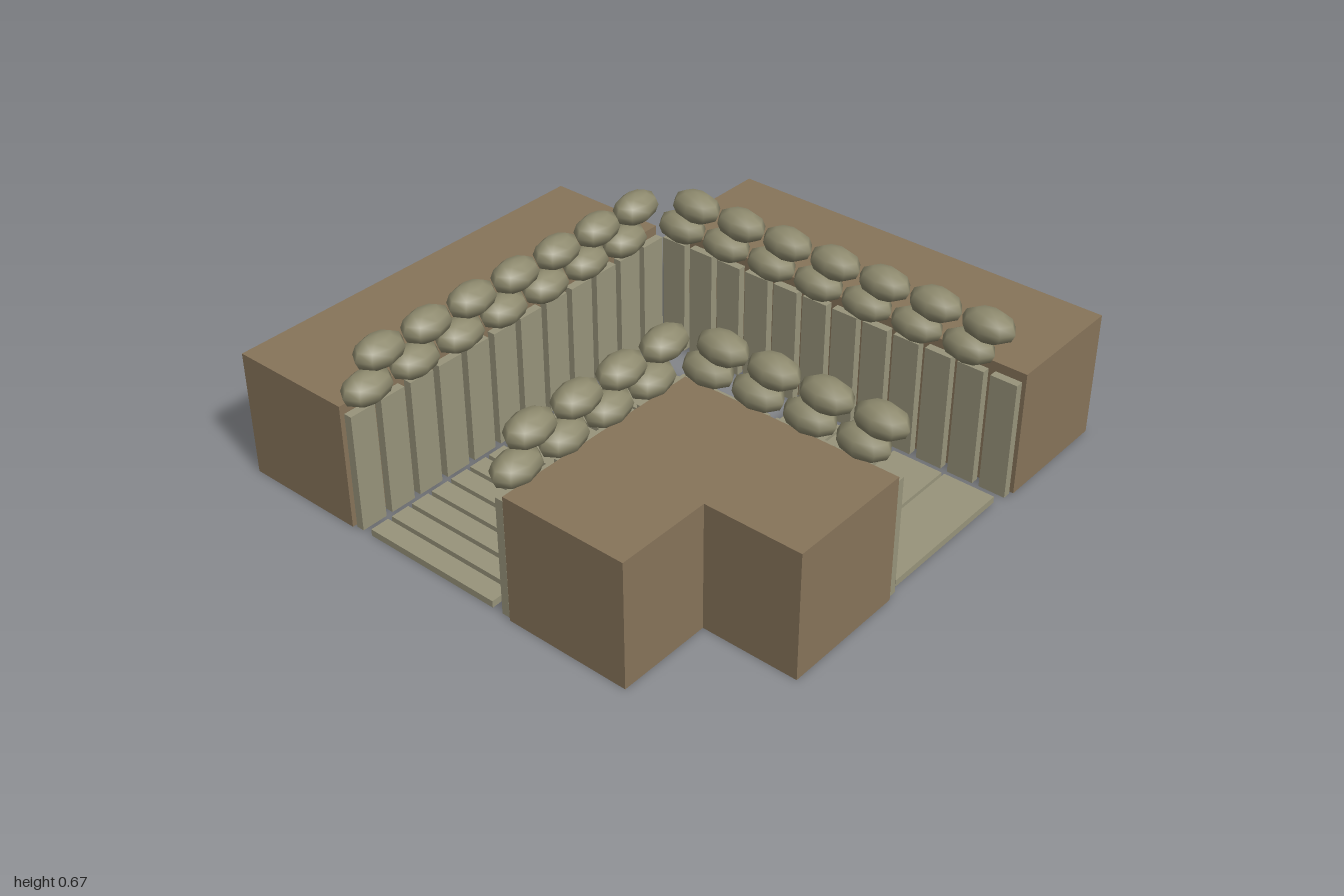
import * as THREE from 'three';

export function createModel() {
  const model = new THREE.Group();
  model.name = 'trench';

  const mat = (name, color) => {
    const m = new THREE.MeshStandardMaterial({ color });
    m.name = name;
    return m;
  };
  const earth = mat('earth brown', 0x87745a);
  const wood = mat('weathered wood', 0x98947b);
  const sack = mat('sandbag olive', 0x8e8a6e);

  const group = (name) => {
    const g = new THREE.Group();
    g.name = name;
    model.add(g);
    return g;
  };

  // box given by its limits on each axis
  const box = (parent, name, material, x0, x1, y0, y1, z0, z1) => {
    const mesh = new THREE.Mesh(new THREE.BoxGeometry(x1 - x0, y1 - y0, z1 - z0), material);
    mesh.position.set((x0 + x1) / 2, (y0 + y1) / 2, (z0 + z1) / 2);
    mesh.name = name;
    parent.add(mesh);
  };

  // earth banks
  const TOP = 0.467;
  const banks = group('earthBanks');
  box(banks, 'sideBank', earth, -1, -0.535, 0, TOP, -0.505, 0.985);
  box(banks, 'backBank', earth, -0.505, 0.985, 0, TOP, -1, -0.535);

  // the corner bank is one L-shaped block
  const outline = [[0.168, 0.168], [0.985, 0.168], [0.985, 0.635], [0.632, 0.635], [0.632, 0.985], [0.168, 0.985]];
  const shape = new THREE.Shape(outline.map(([x, z]) => new THREE.Vector2(x, -z)));
  const cornerGeo = new THREE.ExtrudeGeometry(shape, { depth: TOP, bevelEnabled: false });
  cornerGeo.rotateX(-Math.PI / 2);
  const corner = new THREE.Mesh(cornerGeo, earth);
  corner.name = 'cornerBank';
  banks.add(corner);

  // upright plank walls: along x (at a fixed z) or along z (at a fixed x)
  const plankWall = (name, alongX, at, start, count) => {
    const wall = group(name);
    for (let i = 0; i < count; i++) {
      const a = start + i * 0.1245, b = a + 0.099, c = at - 0.015, d = at + 0.015;
      if (alongX) box(wall, 'wallPlank', wood, a, b, 0, 0.44, c, d);
      else box(wall, 'wallPlank', wood, c, d, 0, 0.44, a, b);
    }
  };
  plankWall('sideWall', false, -0.51, -0.493, 12);
  plankWall('backWall', true, -0.51, -0.493, 12);
  plankWall('cornerWallSide', false, 0.143, 0.13, 7);
  plankWall('cornerWallBack', true, 0.143, 0.13, 7);

  // floor: narrow slats in the long passage, wide boards in the branch
  const floor = group('floor');
  for (let i = 0; i < 15; i++) {
    const z = -0.325 + i * 0.0878;
    box(floor, 'floorSlat', wood, -0.455, 0.087, 0, 0.025, z, z + 0.072);
  }
  for (let i = 0; i < 4; i++) {
    const x = 0.16 + i * 0.2033;
    box(floor, 'floorBoard', wood, x, x + 0.193, 0, 0.025, -0.45, 0.105);
  }

  // sandbags: two staggered courses on each wall
  const bagGeo = new THREE.SphereGeometry(1, 8, 6);
  bagGeo.scale(0.098, 0.057, 0.064);
  const bagRow = (name, alongX, at, upper, lower, count) => {
    const row = group(name);
    [[lower, 0.506], [upper, 0.61]].forEach(([start, y]) => {
      for (let i = 0; i < count; i++) {
        const p = start + i * 0.199;
        const bag = new THREE.Mesh(bagGeo, sack);
        bag.name = 'sandbag';
        bag.position.set(alongX ? p : at, y, alongX ? at : p);
        if (!alongX) bag.rotation.y = Math.PI / 2;
        row.add(bag);
      }
    });
  };
  bagRow('sideSandbags', false, -0.506, -0.365, -0.303, 7);
  bagRow('backSandbags', true, -0.506, -0.348, -0.413, 7);
  bagRow('cornerSandbagsSide', false, 0.135, 0.23, 0.293, 4);
  bagRow('cornerSandbagsBack', true, 0.135, 0.293, 0.235, 4);

  return model;
}
